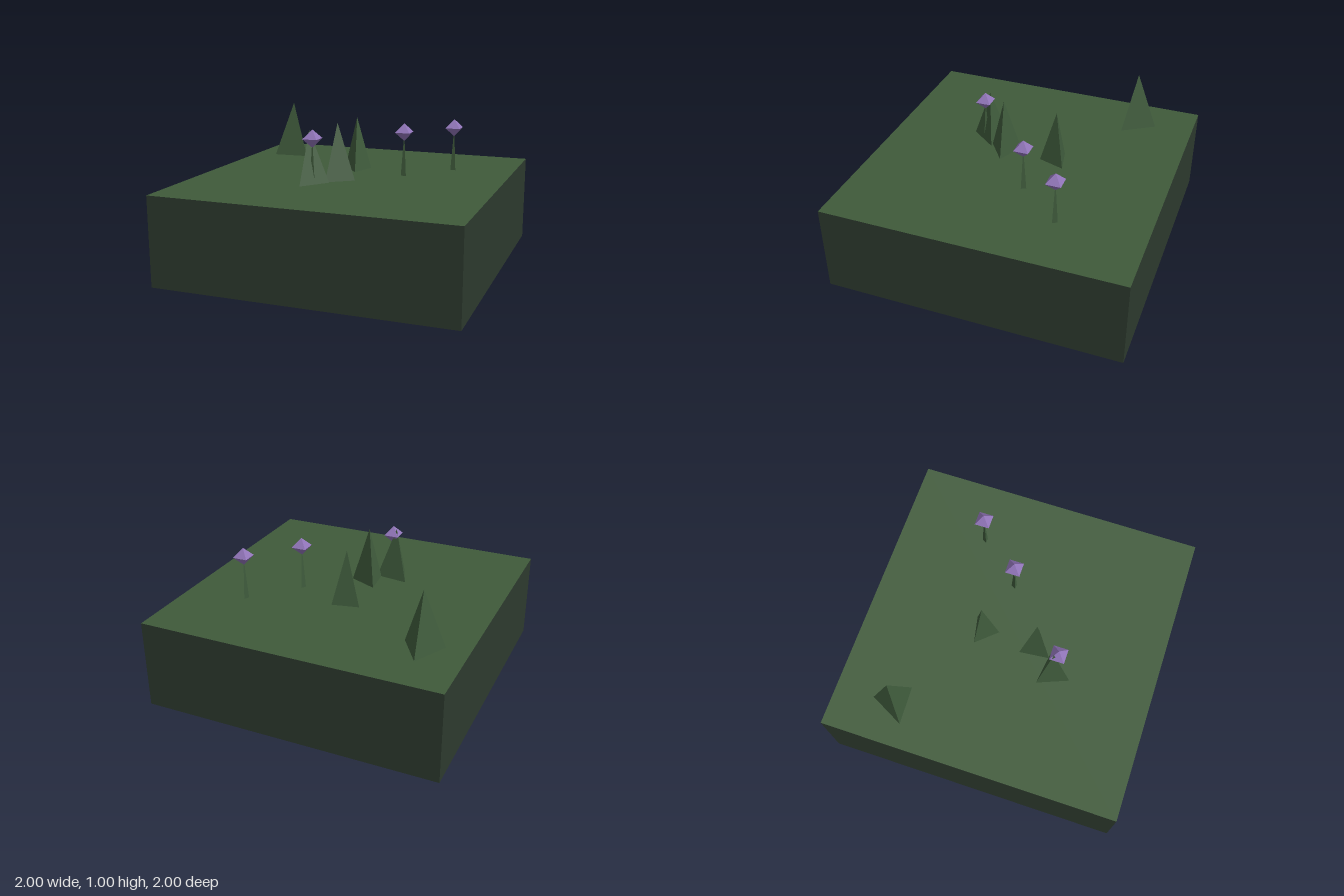
import * as THREE from 'three';

const mat = (name, color, extra = {}) => {
  const m = new THREE.MeshStandardMaterial({ color, flatShading: true, ...extra });
  m.name = name;
  return m;
};

export function createModel() {
  const group = new THREE.Group();
  const grass = mat('grass green', 0x3f5a3a, { side: THREE.DoubleSide });
  const wall = mat('dark earth green', 0x2d3a2e, { side: THREE.DoubleSide });
  const leaf = mat('tree green', 0x3f5b3c);
  const purple = mat('crystal purple', 0x9074b8);

  const add = (name, geometry, material, x, y, z, turn = 0) => {
    const mesh = new THREE.Mesh(geometry, material);
    mesh.name = name;
    mesh.position.set(x, y, z);
    mesh.rotation.y = turn;
    group.add(mesh);
    return mesh;
  };

  // Ground sheet and four thin walls, open underneath
  const top = 0.6;
  add('ground', new THREE.PlaneGeometry(2, 2).rotateX(-Math.PI / 2), grass, 0, top, 0);
  for (let i = 0; i < 4; i++) {
    const a = i * Math.PI / 2;
    add('wall', new THREE.PlaneGeometry(2, top), wall, Math.sin(a), top / 2, Math.cos(a), a);
  }

  // Three-sided trees: x, z, radius, height, turn
  const trees = [
    [-0.72, -0.59, 0.148, 0.395, -3.094],
    [-0.06, -0.205, 0.107, 0.37, 0.207],
    [-0.06, 0.167, 0.118, 0.385, 1.673],
    [-0.197, 0.322, 0.128, 0.35, -0.14],
  ];
  for (const [x, z, r, h, turn] of trees) {
    add('tree', new THREE.ConeGeometry(r, h, 3), leaf, x, top + h / 2, z, turn);
  }

  // Crystals on slender three-sided stalks
  for (const [x, z] of [[0.585, -0.415], [0.315, -0.11], [-0.165, 0.345]]) {
    add('stalk', new THREE.ConeGeometry(0.021, 0.3, 3), leaf, x, top + 0.15, z, Math.PI);
    const crystal = add('crystal', new THREE.OctahedronGeometry(0.07), purple, x, 0.9, z, Math.PI / 4);
    crystal.scale.y = 0.86;
  }
  return group;
}
